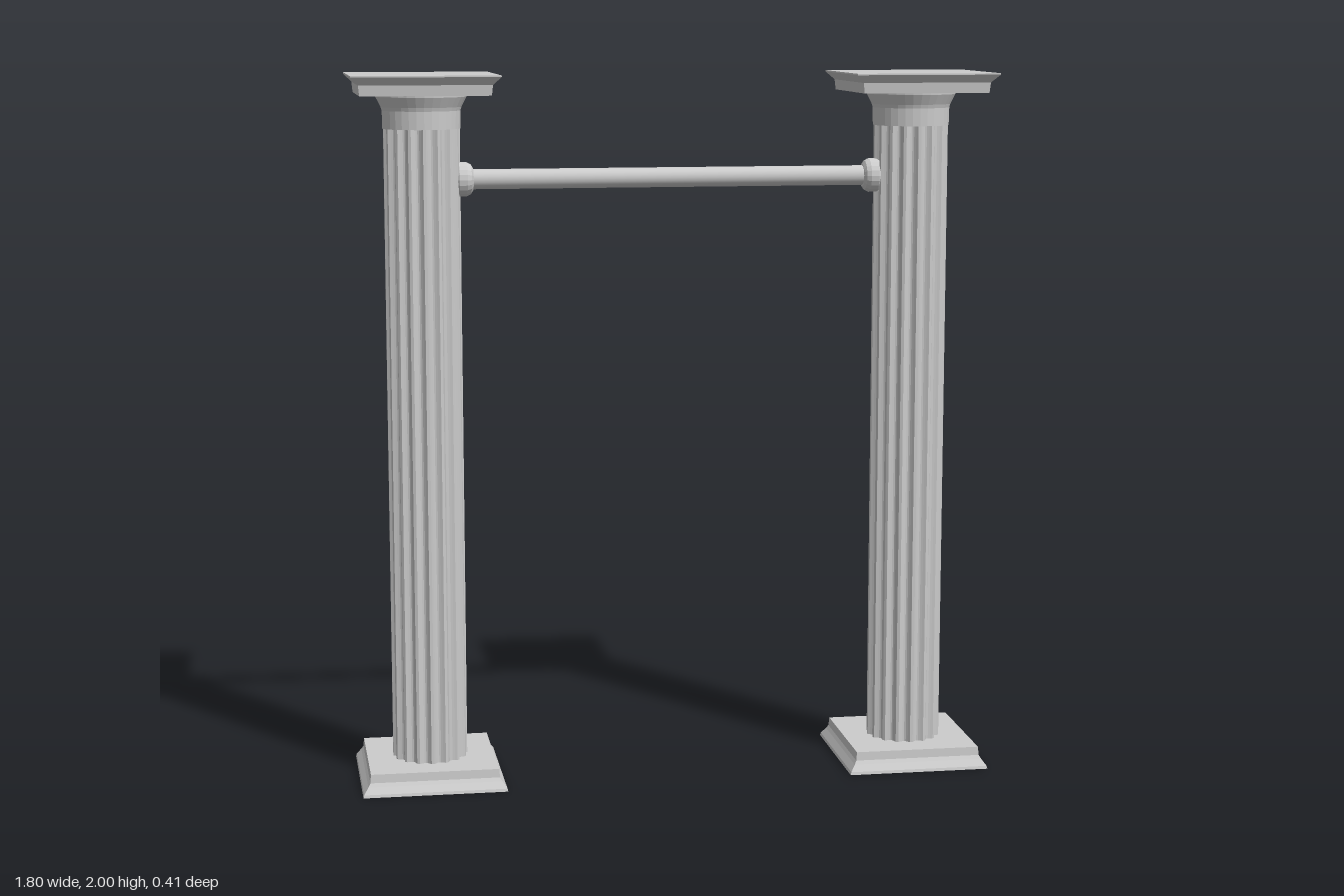
import * as THREE from 'three';

const smooth = new THREE.MeshStandardMaterial({ color: 0xcccccc });
const flat = new THREE.MeshStandardMaterial({ color: 0xcccccc, flatShading: true });

const points = (list) => list.map(([r, y]) => new THREE.Vector2(r, y));

// Square moulding turned from a profile of [half width, height]
function squareMoulding(profile) {
  const corners = profile.map(([half, y]) => [half * Math.SQRT2, y]);
  return new THREE.LatheGeometry(points(corners), 4, Math.PI / 4);
}

// Fluted shaft: scooped grooves separated by narrow flat fillets
function flutedShaft(radius, depth, flutes, bottom, top) {
  const outline = [];
  const steps = 6;
  const pitch = (Math.PI * 2) / flutes;
  for (let i = 0; i < flutes; i++) {
    for (let j = 0; j <= steps; j++) {
      const t = j / steps;
      const a = (i + 0.1 + 0.8 * t) * pitch;
      const r = radius - depth * Math.sin(Math.PI * t);
      outline.push(new THREE.Vector2(r * Math.cos(a), r * Math.sin(a)));
    }
  }
  const geometry = new THREE.ExtrudeGeometry(new THREE.Shape(outline), {
    depth: top - bottom, bevelEnabled: false,
  });
  return geometry.rotateX(-Math.PI / 2).translate(0, bottom, 0);
}

function addPart(parent, name, geometry, material) {
  const mesh = new THREE.Mesh(geometry, material);
  mesh.name = name;
  parent.add(mesh);
  return mesh;
}

function createColumn(name) {
  const column = new THREE.Group();
  column.name = name;

  // Plinth, leaning very slightly so that its back sits higher
  const plinth = squareMoulding([
    [0, 0], [0.203, 0], [0.201, 0.008], [0.188, 0.026], [0.182, 0.036], [0.18, 0.06], [0, 0.06],
  ]);
  const pos = plinth.attributes.position;
  for (let i = 0; i < pos.count; i++) {
    pos.setY(i, pos.getY(i) + 0.02 * (0.2 - pos.getZ(i)));
  }
  addPart(column, 'plinth', plinth, flat);

  addPart(column, 'flutedShaft', flutedShaft(0.106, 0.012, 16, 0.05, 1.86), flat);

  // Round neck swelling out under the abacus
  const neck = [
    [0, 1.85], [0.108, 1.85], [0.109, 1.9], [0.112, 1.91],
    [0.121, 1.928], [0.126, 1.938], [0.127, 1.95],
  ];
  addPart(column, 'capitalNeck', new THREE.LatheGeometry(points(neck), 32), flat);

  // Square abacus with a flared upper edge
  addPart(column, 'abacus', squareMoulding([
    [0, 1.945], [0.179, 1.945], [0.182, 1.974], [0.188, 1.98],
    [0.198, 1.99], [0.204, 1.996], [0.204, 2], [0, 2],
  ]), flat);
  return column;
}

export function createModel() {
  const model = new THREE.Group();
  model.name = 'columnGate';
  const railY = 1.708;

  for (const side of [-1, 1]) {
    const column = createColumn(side > 0 ? 'leftColumn' : 'rightColumn');
    column.position.x = side * 0.697;
    model.add(column);

    // Stepped collar where the rail meets the column
    const collar = addPart(model, side > 0 ? 'leftCollar' : 'rightCollar',
      new THREE.LatheGeometry(points([
        [0, 0], [0.04, 0], [0.048, 0.012], [0.048, 0.034], [0.042, 0.046], [0.032, 0.052], [0, 0.052],
      ]), 20), flat);
    collar.position.set(side * 0.608, railY, 0);
    collar.rotation.z = side * Math.PI / 2;
  }

  // Round rail between the columns
  const rail = addPart(model, 'rail', new THREE.CylinderGeometry(0.028, 0.028, 1.2, 20), smooth);
  rail.position.y = railY;
  rail.rotation.z = Math.PI / 2;
  return model;
}
